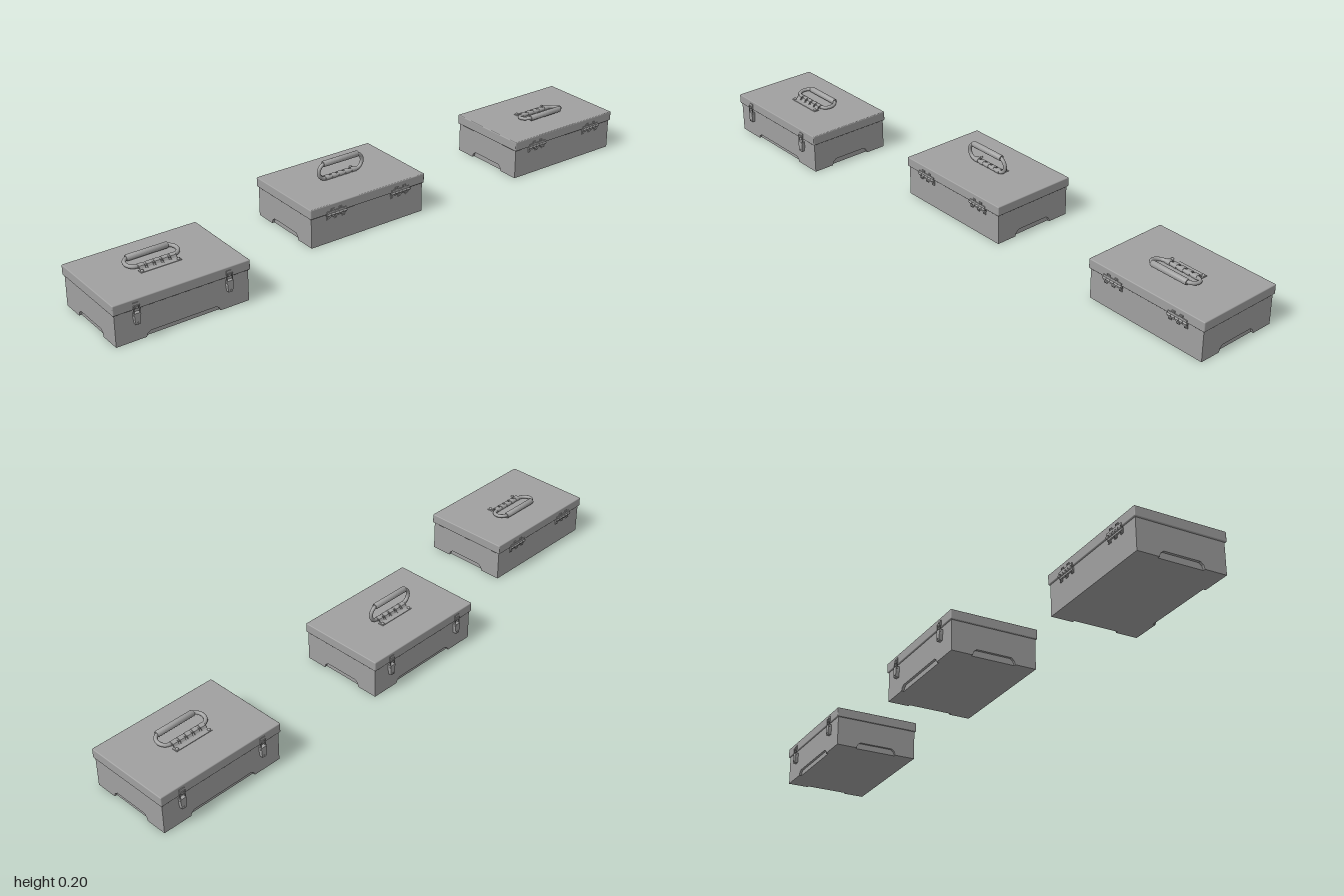
import * as THREE from 'three';
import { RoundedBoxGeometry } from 'three/addons/geometries/RoundedBoxGeometry.js';
import { toCreasedNormals } from 'three/addons/utils/BufferGeometryUtils.js';

const W = 0.425, D = 0.283, LID_Y = 0.099, TOP = 0.131, INSET = 0.008, PIVOT_Y = 0.137;
const material = new THREE.MeshStandardMaterial({ color: 0xa0a0a0 });

function add(parent, name, geometry, x = 0, y = 0, z = 0) {
  const mesh = new THREE.Mesh(geometry, material);
  mesh.name = name;
  mesh.position.set(x, y, z);
  parent.add(mesh);
  return mesh;
}

const box = (w, h, d) => new THREE.BoxGeometry(w, h, d);
const rodX = (r, len, sides = 12) => new THREE.CylinderGeometry(r, r, len, sides).rotateZ(Math.PI / 2);
const dome = (r) => new THREE.SphereGeometry(r, 12, 6, 0, Math.PI * 2, 0, Math.PI / 2);
const vectors = (pairs) => pairs.map(([x, y]) => new THREE.Vector2(x, y));
const extrude = (pairs, depth) =>
  new THREE.ExtrudeGeometry(new THREE.Shape(vectors(pairs)), { depth, bevelEnabled: false });

// Wall panel whose lower edge is cut away between two feet
function notchedPanel(width, n, h) {
  const w = width / 2;
  return extrude([[-w, 0], [-n, 0], [-n + 0.004, h * 0.6], [-n + 0.014, h], [n - 0.014, h],
    [n - 0.004, h * 0.6], [n, 0], [w, 0], [w, LID_Y], [-w, LID_Y]], INSET).translate(0, 0, -INSET);
}

function makeBody() {
  const g = new THREE.Group();
  g.name = 'body';
  add(g, 'bodyCore', box(W - 2 * INSET, LID_Y, D - INSET), 0, LID_Y / 2, -INSET / 2);
  add(g, 'frontWall', notchedPanel(W, 0.118, 0.016), 0, 0, D / 2);
  for (const s of [-1, 1]) {
    add(g, 'sideWall', notchedPanel(D, 0.0715, 0.02), s * W / 2, 0, 0).rotation.y = s * Math.PI / 2;
  }
  return g;
}

// Toggle latch: tapered lever, wire loop and hook on the lid
function makeLatch() {
  const g = new THREE.Group();
  g.name = 'latch';
  const f = D / 2;
  const lever = [[-0.007, 0.055], [0.007, 0.055], [0.0095, 0.075], [0.0095, 0.09], [-0.0095, 0.09], [-0.0095, 0.075]];
  add(g, 'latchLever', extrude(lever, 0.0115), 0, 0, f);
  add(g, 'latchPivot', rodX(0.002, 0.023), 0, 0.084, f + 0.0085);
  add(g, 'latchRivet', dome(0.002), 0, 0.061, f + 0.0115).rotation.x = Math.PI / 2;
  for (const s of [-1, 1]) {
    add(g, 'latchWire', new THREE.CylinderGeometry(0.0015, 0.0015, 0.028, 8), s * 0.009, 0.098, f + 0.0085);
  }
  add(g, 'latchWireBar', rodX(0.0015, 0.02, 8), 0, 0.112, f + 0.0085);
  add(g, 'latchHookPlate', box(0.018, 0.018, 0.002), 0, 0.112, f + 0.006);
  add(g, 'latchHook', box(0.01, 0.006, 0.006), 0, 0.107, f + 0.0075);
  return g;
}

// Hinge: interleaved knuckles, toothed leaves and screws
function makeHinge() {
  const g = new THREE.Group();
  g.name = 'hinge';
  const back = -D / 2;
  add(g, 'hingePin', rodX(0.0025, 0.076), 0, LID_Y - 0.002, back - 0.006);
  add(g, 'hingeUpperLeaf', box(0.07, 0.007, 0.003), 0, 0.105, back - 0.006);
  add(g, 'hingeLowerLeaf', box(0.07, 0.007, 0.006), 0, 0.091, back - 0.002);
  for (let i = 0; i < 5; i++) {
    const x = (i - 2) * 0.0145, upper = i % 2 === 1;
    add(g, 'hingeKnuckle', rodX(0.004, 0.013, 10), x, LID_Y - 0.002, back - 0.006);
    const y = upper ? 0.109 : 0.086, z = upper ? back - 0.006 : back - 0.0015;
    add(g, 'hingeTab', box(0.011, 0.014, 0.003), x, y, z);
    add(g, 'hingeScrew', dome(0.0028), x, upper ? 0.112 : 0.084, z - 0.0015).rotation.x = -Math.PI / 2;
  }
  return g;
}

// Swinging handle: closed wire loop with a thick grip, pivoting on its lower bar
function makeHandle(tilt) {
  const g = new THREE.Group();
  g.name = 'handle';
  const h = 0.051, r = h / 2, half = 0.083 - r, points = [];
  for (const s of [1, -1]) {
    for (const t of [-0.9, -0.4, 0.4, 0.9]) {
      points.push(new THREE.Vector3(s * t * half, s > 0 ? 0 : h, 0));
    }
    for (let i = 0; i <= 8; i++) {
      const a = (i / 8 - 0.5) * Math.PI;
      points.push(new THREE.Vector3(s * (half + r * Math.cos(a)), r + s * r * Math.sin(a), 0));
    }
  }
  const loop = new THREE.CatmullRomCurve3(points, true);
  add(g, 'handleLoop', new THREE.TubeGeometry(loop, 96, 0.006, 12, true));
  const grip = [[0.0055, -0.067], [0.0085, -0.067], [0.0098, -0.064], [0.0098, 0.064], [0.0085, 0.067], [0.0055, 0.067]];
  const gripGeometry = toCreasedNormals(new THREE.LatheGeometry(vectors(grip), 20), 0.6);
  add(g, 'handleGrip', gripGeometry.rotateZ(Math.PI / 2), 0, h, 0);
  g.position.y = PIVOT_Y;
  g.rotation.x = tilt;
  return g;
}

// Bracket screwed to the lid, with straps rolled over the handle's lower bar
function makeBracket() {
  const g = new THREE.Group();
  g.name = 'handleBracket';
  add(g, 'bracketPlate', box(0.13, 0.002, 0.018), 0, TOP + 0.001, 0.024);
  const strap = [[0.02, 0.131], [0.02, 0.133], [0.016, 0.135], [0.012, 0.142], [0, 0.144], [0, 0.141], [0.01, 0.139], [0.014, 0.131]];
  const strapGeometry = extrude(strap.map(([z, y]) => [-z, y]), 0.018).translate(0, 0, -0.009).rotateY(Math.PI / 2);
  for (let i = -2; i <= 2; i++) {
    add(g, 'bracketSleeve', rodX(0.007, 0.018, 16), i * 0.025, PIVOT_Y, 0);
    add(g, 'bracketStrap', strapGeometry, i * 0.025);
  }
  for (const s of [-1, 1]) add(g, 'bracketScrew', dome(0.005), s * 0.058, TOP + 0.002, 0.026);
  return g;
}

function makeToolbox(name, x, z, turn, tilt) {
  const g = new THREE.Group();
  g.name = name;
  g.add(makeBody());
  const lidH = TOP - LID_Y;
  add(g, 'lid', new RoundedBoxGeometry(0.435, lidH, 0.293, 2, 0.003), 0, LID_Y + lidH / 2, 0);
  for (const s of [-1, 1]) {
    const latch = makeLatch(), hinge = makeHinge();
    latch.position.x = s * 0.147;
    hinge.position.x = s * 0.122;
    g.add(latch, hinge);
  }
  g.add(makeBracket(), makeHandle(tilt));
  g.position.set(x, 0, z);
  g.rotation.y = turn;
  return g;
}

export function createModel() {
  const model = new THREE.Group();
  model.name = 'toolboxes';
  model.add(
    makeToolbox('rightToolbox', -0.7825, 0.0725, 0, -1.45),
    makeToolbox('middleToolbox', -0.038, -0.0725, Math.PI, 0),
    makeToolbox('leftToolbox', 0.7825, -0.0725, Math.PI, -1.38)
  );
  return model;
}
